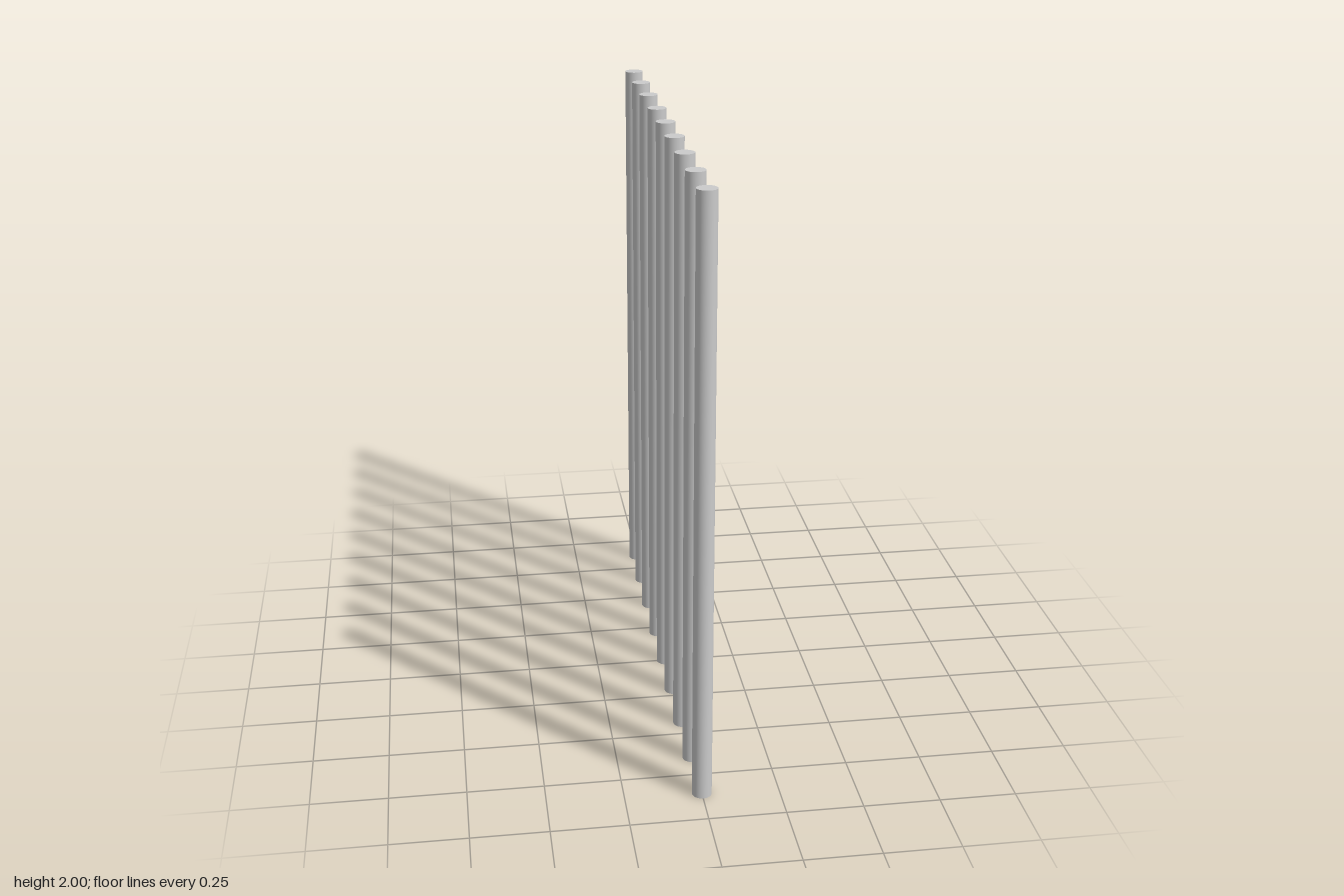
import * as THREE from 'three';

const HEIGHT = 2;
const RADIUS = 0.032;
// Slightly uneven spacing of the bars, from front to back
const BAR_Z = [0.857, 0.646, 0.428, 0.209, 0, -0.211, -0.435, -0.648, -0.857];

export function createModel() {
  const model = new THREE.Group();
  model.name = 'barRow';
  const material = new THREE.MeshStandardMaterial({ color: 0xcccccc });

  // Round upright bar, capped at both ends, standing on the floor
  const barGeometry = new THREE.CylinderGeometry(RADIUS, RADIUS, HEIGHT, 32);
  barGeometry.translate(0, HEIGHT / 2, 0);

  BAR_Z.forEach((z, i) => {
    const bar = new THREE.Mesh(barGeometry, material);
    bar.name = `bar${i + 1}`;
    bar.position.z = z;
    model.add(bar);
  });

  return model;
}
